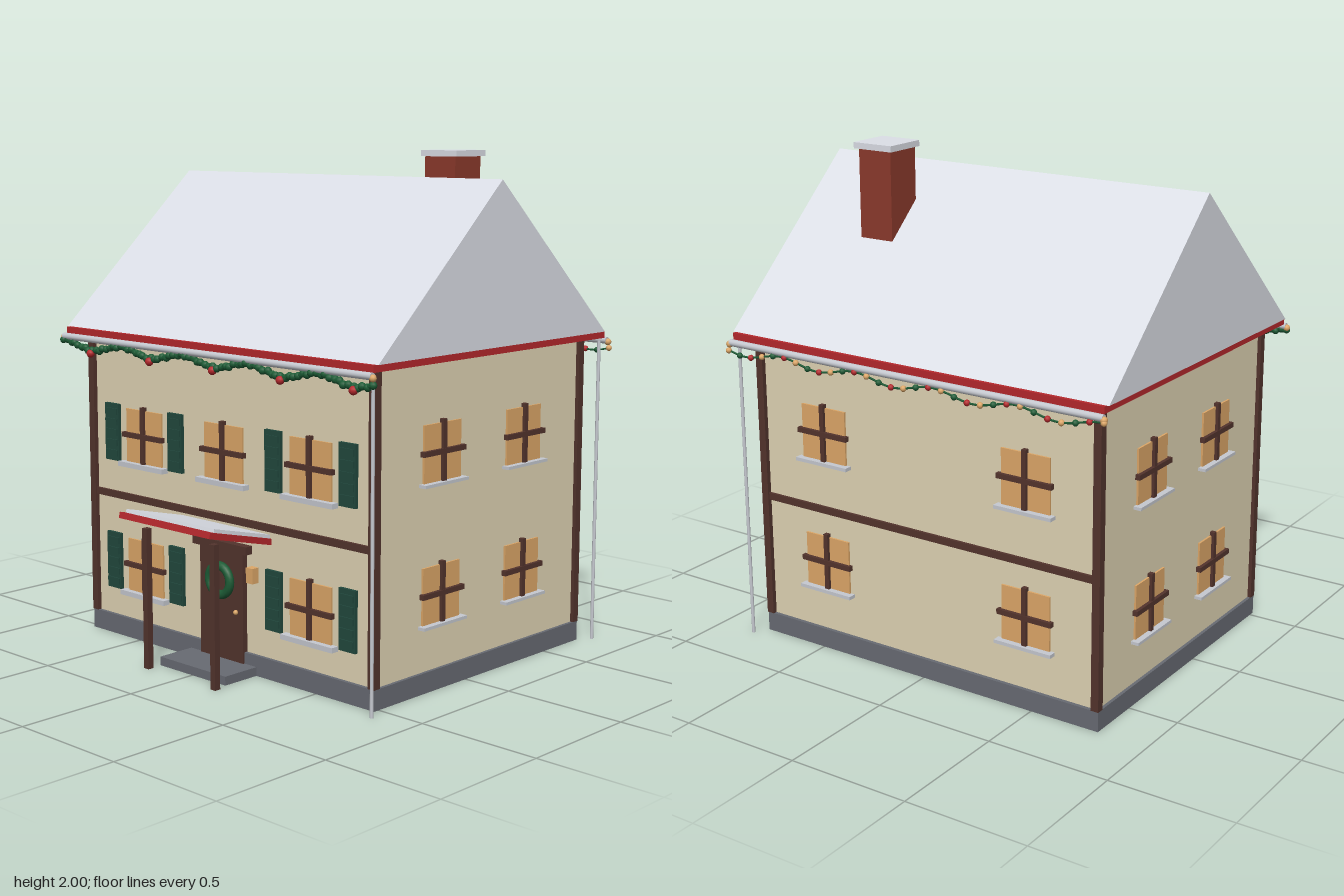
import * as THREE from 'three';

const mat = (name, color) => new THREE.MeshStandardMaterial({ name, color });

export function createModel() {
  const M = {
    wall: mat('cream wall', 0xe0d4b4),
    snow: mat('snow', 0xdfe2ea),
    wood: mat('dark wood', 0x53342d),
    red: mat('red trim', 0xb5282c),
    shutter: mat('shutter green', 0x21483d),
    green: mat('garland green', 0x1d5c36),
    glow: mat('warm window', 0xdda768),
    stone: mat('grey stone', 0x686b73),
    brick: mat('brick', 0x8c3a2c),
    metal: mat('gutter metal', 0xc6c9d0),
  };
  const house = new THREE.Group();
  house.name = 'house';
  const CZ = -0.1, HX = 0.78, HZ = 0.61; // wall centre and half sizes

  const add = (name, geo, m, x, y, z, parent = house) => {
    const mesh = new THREE.Mesh(geo, m);
    mesh.name = name;
    mesh.position.set(x, y, z);
    parent.add(mesh);
    return mesh;
  };
  const box = (name, m, w, h, d, x, y, z, parent) =>
    add(name, new THREE.BoxGeometry(w, h, d), m, x, y, z, parent);
  const ball = (name, m, r, x, y, z) =>
    add(name, new THREE.SphereGeometry(r, 10, 8), m, x, y, z);
  const rod = (name, m, r, len, x, y, z, parent) =>
    add(name, new THREE.CylinderGeometry(r, r, len, 12), m, x, y, z, parent);

  // Body
  box('foundation', M.stone, 1.586, 0.08, 1.25, 0, 0.04, CZ);
  box('walls', M.wall, HX * 2, 1.18, HZ * 2, 0, 0.67, CZ);
  for (const sx of [-1, 1]) for (const sz of [-1, 1])
    box('cornerPost', M.wood, 0.032, 1.17, 0.032, sx * 0.779, 0.665, CZ + sz * 0.612);
  for (const sz of [-1, 1])
    box('floorBeam', M.wood, 1.54, 0.028, 0.02, 0, 0.592, CZ + sz * 0.612);

  // Roof prism over a red eaves board
  const gable = new THREE.Shape([[-0.682, 1.278], [0.682, 1.278], [0, 1.9]].map(p => new THREE.Vector2(...p)));
  const roof = new THREE.ExtrudeGeometry(gable, { depth: 1.712, bevelEnabled: false });
  roof.translate(0, 0, -0.856).rotateY(Math.PI / 2);
  add('roof', roof, M.snow, 0, 0, CZ);
  box('eavesBoard', M.red, 1.69, 0.027, 1.392, 0, 1.264, CZ);
  for (const sz of [-1, 1]) {
    rod('gutter', M.metal, 0.014, 1.7, 0, 1.24, CZ + sz * 0.707).rotation.z = Math.PI / 2;
    rod('downspout', M.metal, 0.007, 1.24, 0.83, 0.62, CZ + sz * 0.68);
  }

  // Chimney
  box('chimney', M.brick, 0.152, 0.5, 0.155, 0.435, 1.73, -0.323);
  box('chimneyCap', M.snow, 0.18, 0.024, 0.18, 0.435, 1.988, -0.325);

  // Window facing +z of its group, with optional shutters
  function addWindow(x, y, z, turn, shutters, sillHeight) {
    const g = new THREE.Group();
    g.name = 'window';
    g.position.set(x, y, z);
    g.rotation.y = turn;
    house.add(g);
    box('pane', M.glow, 0.212, 0.218, 0.008, 0, -0.003, 0.004, g);
    box('uprightBar', M.wood, 0.02, 0.235, 0.02, 0, 0.003, 0.01, g);
    box('crossBar', M.wood, 0.24, 0.02, 0.02, 0, 0, 0.012, g);
    box('sill', M.metal, sillHeight > 0.015 ? 0.268 : 0.25, sillHeight, 0.035, 0, -0.112 - sillHeight / 2, 0.015, g);
    if (shutters) for (const s of [-1, 1]) {
      box('shutter', M.shutter, 0.083, 0.236, 0.014, s * 0.151 + s * 0.04, 0, 0.007, g);
      for (let i = -2; i <= 2; i++)
        box('slat', M.shutter, 0.07, 0.026, 0.008, s * 0.191, i * 0.043, 0.016, g);
    }
  }
  const front = CZ + HZ, back = CZ - HZ;
  for (const s of [-1, 1]) {
    for (const y of [0.853, 0.313]) addWindow(s * 0.465, y, front, 0, true, 0.02);
    for (const y of [0.91, 0.373]) {
      addWindow(s * 0.47, y, back, Math.PI, false, 0.014);
      for (const z of [0.145, -0.348]) addWindow(s * HX, y, z, s * Math.PI / 2, false, 0.012);
    }
  }
  addWindow(0, 0.853, front, 0, false, 0.02);

  // Door, wreath and lantern
  box('door', M.wood, 0.24, 0.44, 0.025, 0, 0.25, front + 0.01);
  box('doorLintel', M.wood, 0.3, 0.032, 0.04, 0, 0.489, front + 0.015);
  ball('doorKnob', M.glow, 0.01, 0.085, 0.235, front + 0.028);
  add('wreath', new THREE.TorusGeometry(0.058, 0.018, 10, 28), M.green, 0, 0.35, front + 0.032);
  ball('wreathBow', M.red, 0.017, 0, 0.294, front + 0.044);
  box('lantern', M.glow, 0.036, 0.06, 0.034, 0.167, 0.396, front + 0.017);

  // Porch: step, posts and tilted canopy
  box('step', M.stone, 0.37, 0.035, 0.17, 0, 0.0175, 0.605);
  for (const s of [-1, 1]) box('porchPost', M.wood, 0.026, 0.56, 0.026, s * 0.19, 0.28, 0.746);
  const canopy = new THREE.Group();
  canopy.name = 'canopy';
  canopy.position.set(0, 0.576, 0.665);
  canopy.rotation.x = -0.24;
  house.add(canopy);
  box('canopyBoard', M.red, 0.51, 0.024, 0.335, 0, 0, 0, canopy);
  box('canopySnow', M.snow, 0.495, 0.014, 0.31, 0, 0.019, -0.012, canopy);

  // Swagged strings under the eaves
  const swag = x => 1.21 + 0.015 * Math.cos((2 * Math.PI * (x + 0.85)) / 0.36);
  const string = (name, m, r, z) => {
    const pts = Array.from({ length: 61 }, (_, i) => {
      const x = -0.85 + (1.7 * i) / 60;
      return new THREE.Vector3(x, swag(x), z);
    });
    add(name, new THREE.TubeGeometry(new THREE.CatmullRomCurve3(pts), 90, r, 6), m, 0, 0, 0);
  };
  string('garland', M.green, 0.011, 0.607);
  for (let i = 0; i <= 76; i++) {
    const x = -0.85 + (1.7 * i) / 76;
    ball('garlandTuft', M.green, 0.015, x, swag(x) + 0.004 * Math.sin(i * 2.4), 0.607 + 0.004 * Math.cos(i * 1.7));
  }
  for (let i = 0; i < 5; i++) ball('ornament', M.red, 0.017, -0.67 + 0.36 * i, 1.184, 0.617);
  string('lightCable', M.green, 0.004, -0.812);
  const bulbs = [M.glow, M.red, M.green];
  for (let i = 0; i <= 30; i++) {
    const x = -0.855 + (1.71 * i) / 30;
    ball('backBulb', bulbs[i % 3], 0.012, x, swag(x), -0.814);
  }
  for (const s of [-1, 1]) for (const z of [0.607, -0.81])
    ball('endBulb', M.glow, 0.014, s * 0.852, 1.234, z);

  return house;
}
